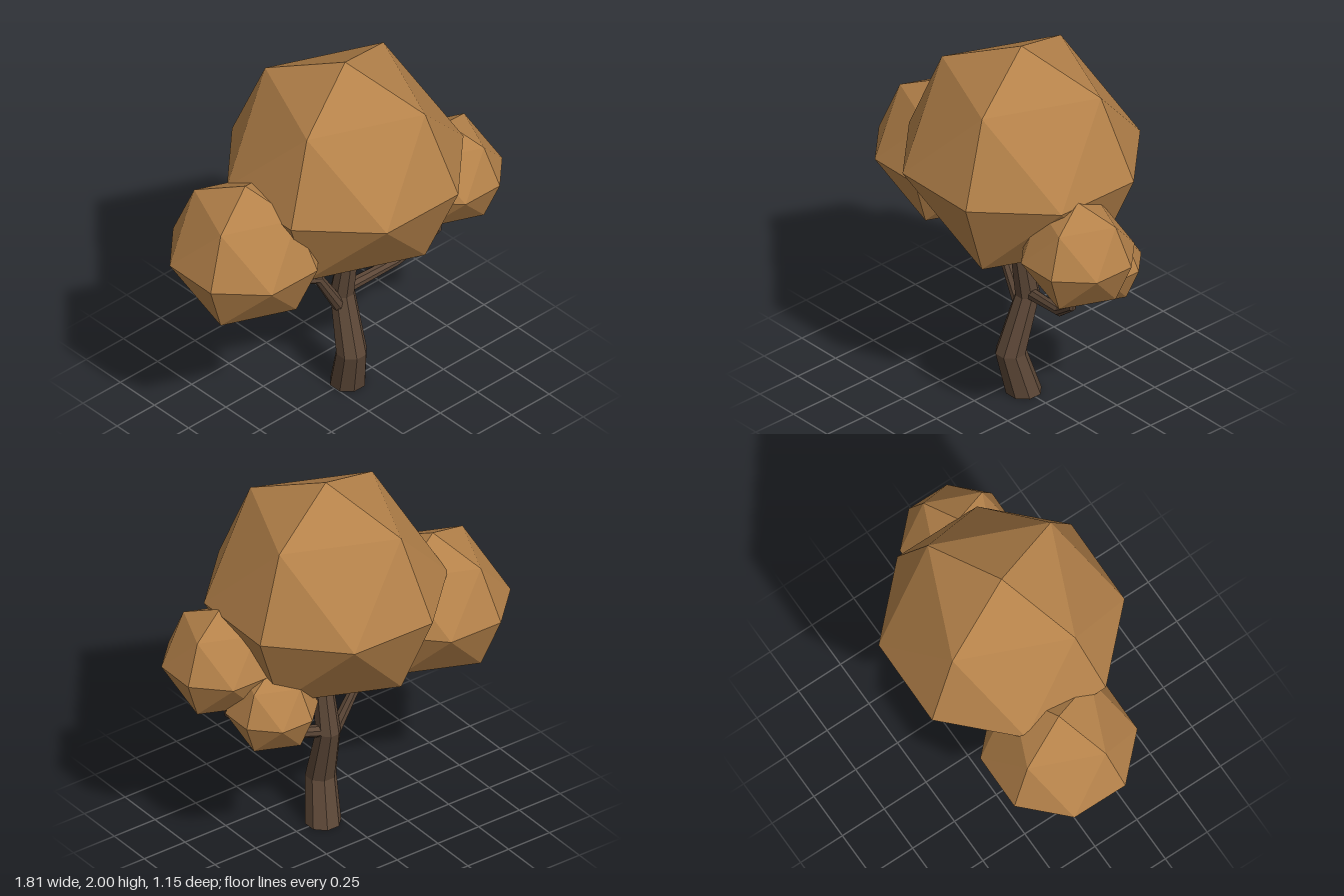
import * as THREE from 'three';

const leafMat = new THREE.MeshStandardMaterial({ color: 0xb5824a, flatShading: true });
const barkMat = new THREE.MeshStandardMaterial({ color: 0x5c4737, flatShading: true });

// Faceted limb lofted through rings [x, y, z, radius]; level keeps the rings horizontal
function limb(name, rings, sides, level) {
  const pts = rings.map(r => new THREE.Vector3(r[0], r[1], r[2]));
  const last = pts.length - 1;
  const up = new THREE.Vector3(0, 1, 0);
  const pos = [], index = [];
  pts.forEach((p, i) => {
    const dir = new THREE.Vector3();
    if (level) dir.copy(up);
    else {
      if (i > 0) dir.add(pts[i].clone().sub(pts[i - 1]).normalize());
      if (i < last) dir.add(pts[i + 1].clone().sub(pts[i]).normalize());
      dir.normalize();
    }
    // Ring axes, with z as the steady reference
    const u = new THREE.Vector3().crossVectors(dir, new THREE.Vector3(0, 0, 1)).normalize();
    const v = new THREE.Vector3().crossVectors(dir, u);
    for (let k = 0; k < sides; k++) {
      const a = ((k + 0.5) / sides) * Math.PI * 2;
      const q = p.clone()
        .addScaledVector(u, Math.cos(a) * rings[i][3])
        .addScaledVector(v, Math.sin(a) * rings[i][3]);
      pos.push(q.x, q.y, q.z);
    }
  });
  // Side walls
  for (let i = 0; i < last; i++) {
    for (let k = 0; k < sides; k++) {
      const a = i * sides + k, b = i * sides + (k + 1) % sides;
      index.push(a, b, b + sides, a, b + sides, a + sides);
    }
  }
  // End caps
  for (let k = 1; k < sides - 1; k++) {
    const t = last * sides;
    index.push(0, k + 1, k, t, t + k, t + k + 1);
  }
  const geo = new THREE.BufferGeometry();
  geo.setAttribute('position', new THREE.Float32BufferAttribute(pos, 3));
  geo.setIndex(index);
  const flat = geo.toNonIndexed();
  flat.computeVertexNormals();
  const mesh = new THREE.Mesh(flat, barkMat);
  mesh.name = name;
  return mesh;
}

// Ball of foliage: a once-divided octahedron turned about y
function foliage(name, x, y, z, r) {
  const mesh = new THREE.Mesh(new THREE.OctahedronGeometry(r, 1), leafMat);
  mesh.position.set(x, y, z);
  mesh.rotation.y = 0.384;
  mesh.name = name;
  return mesh;
}

export function createModel() {
  const tree = new THREE.Group();
  tree.name = 'tree';

  // Crooked trunk and its two branches
  tree.add(
    limb('trunk', [
      [0.087, 0, 0, 0.093],
      [0.058, 0.24, 0.06, 0.08],
      [0.08, 0.55, -0.032, 0.064],
      [0.078, 0.9, 0.03, 0.048],
    ], 8, true),
    limb('rightBranch', [
      [0.06, 0.46, -0.01, 0.036],
      [-0.09, 0.72, -0.02, 0.028],
      [-0.36, 0.815, -0.08, 0.018],
    ], 8, false),
    limb('leftBranch', [
      [0.08, 0.555, -0.035, 0.034],
      [0.39, 0.615, 0.03, 0.027],
      [0.58, 0.765, 0.12, 0.022],
      [0.59, 0.88, 0.13, 0.018],
    ], 8, false),
  );

  // Foliage
  tree.add(
    foliage('crown', 0.07, 1.38, 0, 0.62),
    foliage('rightFoliage', -0.535, 1.105, -0.07, 0.396),
    foliage('leftFoliage', 0.63, 1.105, 0.125, 0.296),
    foliage('backFoliage', 0.49, 0.895, -0.12, 0.236),
  );
  return tree;
}
